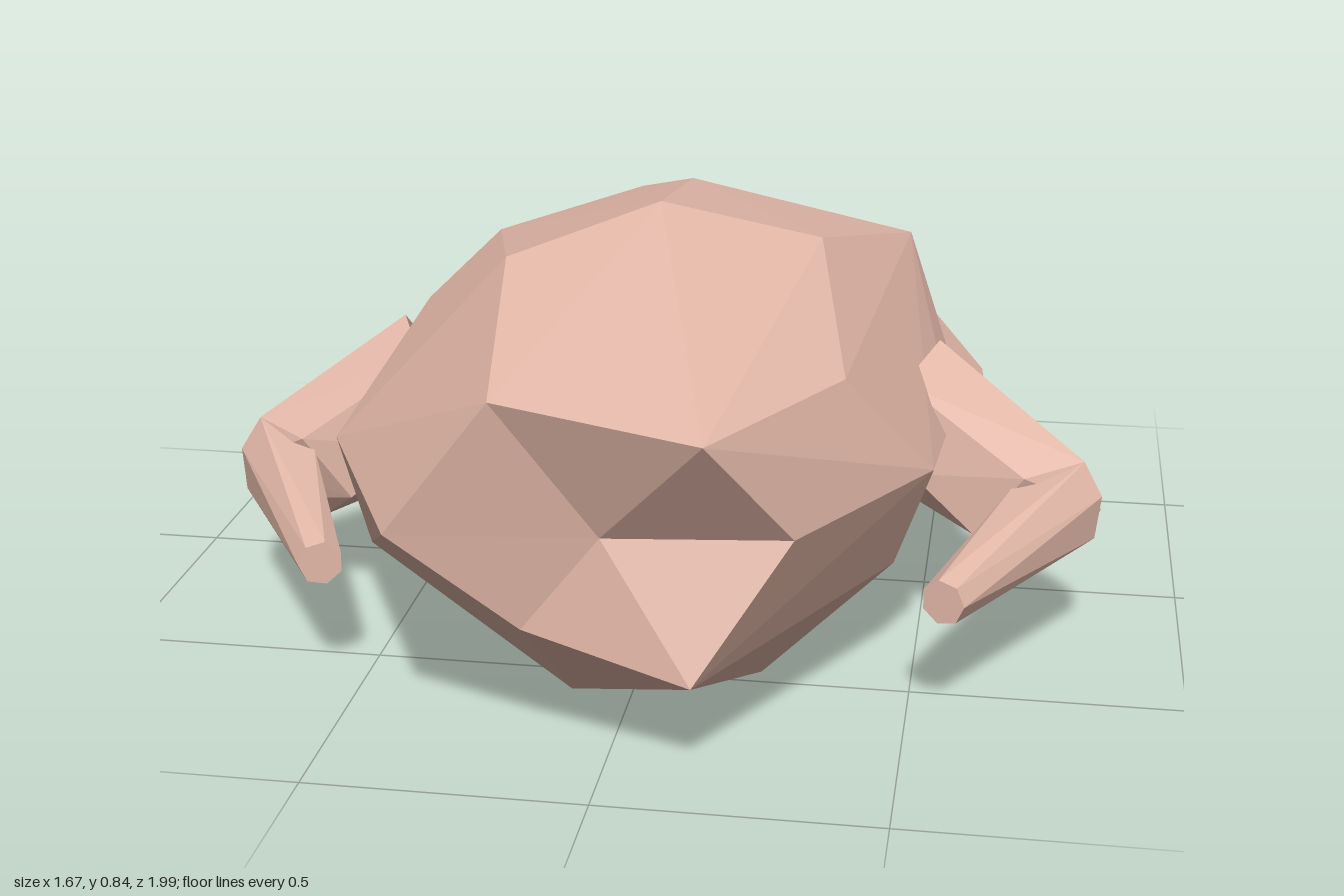
import * as THREE from 'three';
import { ConvexGeometry } from 'three/addons/geometries/ConvexGeometry.js';

const skin = new THREE.MeshStandardMaterial({ color: 0xe3b8a8 });
skin.name = 'roastSkin';
const bone = new THREE.MeshStandardMaterial({ color: 0xdfd9b9 });
bone.name = 'bone';
skin.flatShading = bone.flatShading = true;

// Faceted solid wrapped around a few corner points; side = -1 mirrors it in x
function hull(name, points, material, side = 1) {
  const corners = points.map(([x, y, z]) => new THREE.Vector3(x * side, y, z));
  const mesh = new THREE.Mesh(new ConvexGeometry(corners), material);
  mesh.name = name;
  return mesh;
}

// Ring of points around a centre, in the xy plane, slightly leaned in z
function ring(x, y, z, rx, ry, n, lean = 0, turn = 0) {
  return Array.from({ length: n }, (_, i) => {
    const a = turn + (i / n) * Math.PI * 2;
    return [x + rx * Math.cos(a), y + ry * Math.sin(a), z + lean * Math.sin(a)];
  });
}

// Replaces the hull faces inside a rim (counterclockwise) by a fan to a sunken centre
function dent(mesh, rim, centre) {
  const p = mesh.geometry.attributes.position;
  const onRim = (i) => rim.some(([x, y, z]) =>
    Math.hypot(p.getX(i) - x, p.getY(i) - y, p.getZ(i) - z) < 1e-4);
  const out = [];
  for (let i = 0; i < p.count; i += 3) {
    if (onRim(i) && onRim(i + 1) && onRim(i + 2)) continue;
    for (let k = i; k < i + 3; k++) out.push(p.getX(k), p.getY(k), p.getZ(k));
  }
  rim.forEach((a, i) => out.push(...centre, ...a, ...rim[(i + 1) % rim.length]));
  mesh.geometry = new THREE.BufferGeometry();
  mesh.geometry.setAttribute('position', new THREE.Float32BufferAttribute(out, 3));
  mesh.geometry.computeVertexNormals();
}

export function createModel() {
  const model = new THREE.Group();
  model.name = 'roastBird';

  // Plump, slightly lopsided body with a dented neck end
  const neckRim = [
    [-0.17, 0.68, 0.94], [-0.36, 0.43, 0.92], [-0.14, 0.25, 0.87],
    [0.16, 0.19, 0.93], [0.32, 0.43, 0.84], [0.19, 0.645, 1.0],
  ];
  const body = hull('body', [
    ...neckRim,
    // back ridge
    [0, 0.84, 0.24], [-0.24, 0.79, 0.48], [0.3, 0.78, 0.23], [0, 0.785, -0.16],
    [0.38, 0.64, 0.62], [-0.45, 0.63, 0.23], [0.44, 0.68, -0.2], [-0.41, 0.65, -0.2],
    [0.16, 0.65, -0.48], [-0.16, 0.68, -0.49],
    // widest band
    [-0.57, 0.43, 0.48], [0.53, 0.43, 0.48], [0.55, 0.43, 0.2], [0.55, 0.43, -0.02],
    [-0.5, 0.43, -0.04], [0.18, 0.5, -0.49], [-0.18, 0.5, -0.48],
    [0.36, 0.45, -0.33], [-0.36, 0.45, -0.33],
    // belly
    [-0.52, 0.21, 0.45], [0.46, 0.22, 0.42], [-0.1, 0.03, 0.64], [0.24, 0.07, 0.6],
    [0, 0, 0.2], [0.26, 0.07, 0.05], [-0.26, 0.07, 0.1],
    [0.1, 0.02, -0.2], [-0.1, 0.02, -0.18], [0, 0.08, -0.29],
  ], skin);
  dent(body, neckRim, [0, 0.43, 0.88]);
  model.add(body);

  // Tail end under the rear edge, tapering down to the belly
  model.add(hull('tail', [
    [-0.36, 0.41, -0.4], [0.33, 0.41, -0.42], [-0.15, 0.49, -0.6], [0.15, 0.5, -0.57],
    [-0.12, 0.42, -0.58], [0.16, 0.42, -0.57], [-0.2, 0.52, -0.42], [0.2, 0.52, -0.42],
    [0, 0.12, -0.38], [-0.25, 0.22, -0.2], [0.25, 0.22, -0.2],
  ], skin));

  for (const side of [1, -1]) {
    const label = side === 1 ? 'left' : 'right';

    // Drumstick: thigh, shank and bone end; the two thighs splay differently
    const bend = side === 1 ? [0.54, 0.475, 0.415, 0.36, 0.34] : [0.45, 0.42, 0.41, 0.41, 0.43];
    const leg = new THREE.Group();
    leg.name = label + 'Leg';
    leg.add(hull('thigh', [
      ...ring(bend[0], 0.245, -0.07, 0.045, 0.045, 5),
      ...ring(bend[1], 0.255, -0.22, 0.14, 0.145, 6, -0.03, 0.2),
      ...ring(bend[2], 0.245, -0.4, 0.19, 0.217, 8, -0.01, Math.PI / 8),
      ...ring(bend[3], 0.235, -0.59, 0.2, 0.19, 7, -0.02, 0.22),
      ...ring(bend[4], 0.245, -0.75, 0.095, 0.1, 6, -0.035, 0.5),
    ], skin, side));
    leg.add(hull('shank', [
      ...ring(0.36, 0.2, -0.68, 0.07, 0.075, 6),
      ...ring(0.345, 0.145, -0.93, 0.042, 0.04, 6),
    ], skin, side));
    const tip = new THREE.Mesh(new THREE.IcosahedronGeometry(0.057, 0), bone);
    tip.name = 'boneEnd';
    tip.position.set(0.35 * side, 0.14, -0.945);
    leg.add(tip);
    model.add(leg);

    // Folded wing: upper part out to the elbow, then forward to the tip
    const wing = new THREE.Group();
    wing.name = label + 'Wing';
    wing.add(hull('upperWing', [
      [0.52, 0.57, 0.16], [0.46, 0.52, 0.28], [0.54, 0.5, 0.02], [0.54, 0.38, 0.02],
      [0.46, 0.25, 0.14], [0.48, 0.35, 0.3], [0.8, 0.37, 0.24], [0.835, 0.28, 0.25],
      [0.78, 0.2, 0.24], [0.68, 0.17, 0.24], [0.69, 0.36, 0.32], [0.6, 0.24, 0.31],
    ], skin, side));
    wing.add(hull('lowerWing', [
      [0.8, 0.37, 0.24], [0.835, 0.31, 0.26], [0.825, 0.23, 0.27], [0.74, 0.17, 0.24],
      [0.66, 0.19, 0.27], [0.67, 0.34, 0.31],
      // tip, cut square to the wing
      ...ring(0.56, 0.245, 0.64, 0.038, 0.042, 7).map(([x, y, z]) => [x, y, z + (x - 0.56) * 0.4]),
    ], skin, side));
    model.add(wing);
  }
  return model;
}
